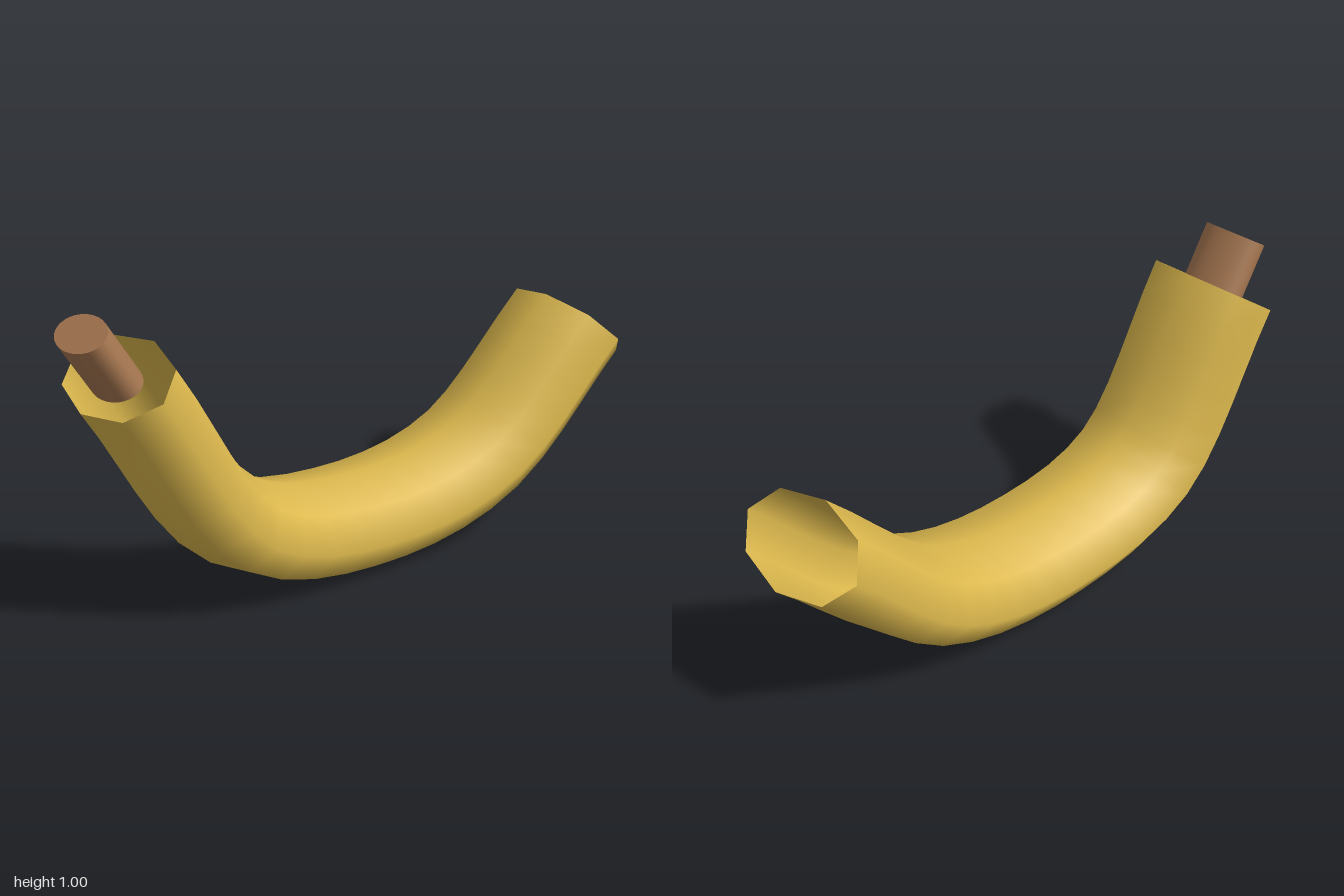
import * as THREE from 'three';

const DEPTH = 1.7; // cross-sections are wider in z than in the bending plane

export function createModel() {
  const group = new THREE.Group();
  group.name = 'banana';

  const peelYellow = new THREE.MeshStandardMaterial({ color: 0xdcb84d, side: THREE.DoubleSide });
  peelYellow.name = 'peel yellow';
  const stemBrown = new THREE.MeshStandardMaterial({ color: 0xa57650 });
  stemBrown.name = 'stem brown';

  // Curved eight-sided peel, open at both ends
  const path = new THREE.CatmullRomCurve3([
    [-0.835, 0.813], [-0.47, 0.26], [0, 0.147], [0.47, 0.235], [0.9, 0.62],
  ].map(([x, y]) => new THREE.Vector3(x, y, 0)));
  const peelGeometry = new THREE.TubeGeometry(path, 20, 0.147, 8, false);
  peelGeometry.scale(1, 1, DEPTH);
  const peel = new THREE.Mesh(peelGeometry, peelYellow);
  peel.name = 'peel';
  group.add(peel);

  // Stem standing at the mouth of the left-hand end
  const bottom = new THREE.Vector3(-0.84, 0.8, 0);
  const top = new THREE.Vector3(-0.94, 0.965, 0);
  const axis = top.clone().sub(bottom);
  const stemGeometry = new THREE.CylinderGeometry(0.068, 0.068, axis.length(), 32);
  stemGeometry.scale(1, 1, DEPTH);
  const stem = new THREE.Mesh(stemGeometry, stemBrown);
  stem.name = 'stem';
  stem.position.copy(bottom).add(top).multiplyScalar(0.5);
  stem.rotation.z = Math.atan2(-axis.x, axis.y);
  group.add(stem);

  return group;
}
